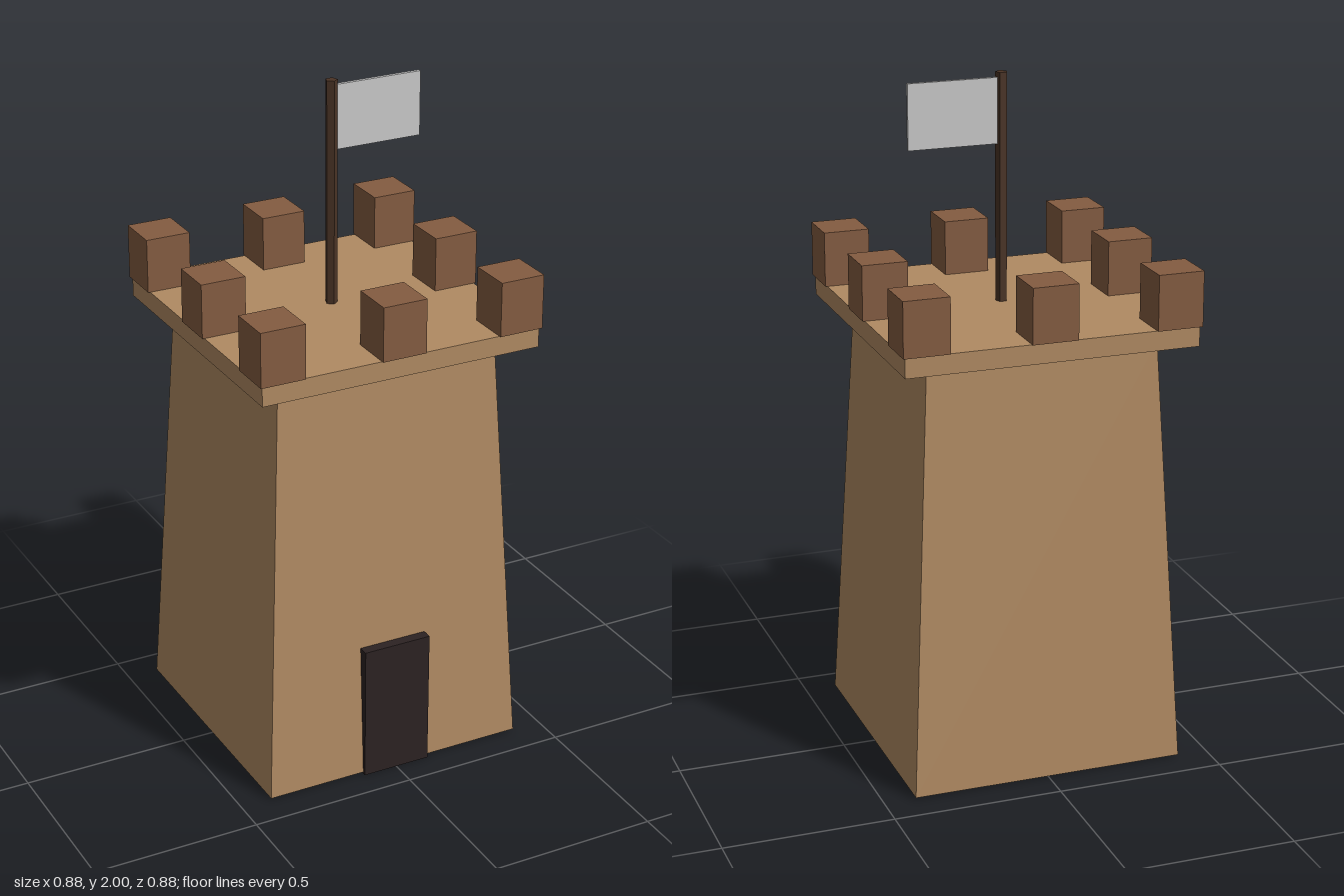
import * as THREE from 'three';

const paint = (name, color) => {
  const m = new THREE.MeshStandardMaterial({ color, flatShading: true });
  m.name = name;
  return m;
};

export function createModel() {
  const tower = new THREE.Group();
  tower.name = 'watchtower';

  const stone = paint('sandstone', 0xb08a62);
  const brick = paint('brown brick', 0x845c41);
  const doorWood = paint('dark door wood', 0x2c2222);
  const poleWood = paint('pole wood', 0x4a3325);
  const cloth = paint('pale cloth', 0xc9c9c9);

  const add = (name, geometry, material, x, y, z) => {
    const mesh = new THREE.Mesh(geometry, material);
    mesh.name = name;
    mesh.position.set(x, y, z);
    tower.add(mesh);
    return mesh;
  };
  const box = (name, material, w, h, d, x, y, z) =>
    add(name, new THREE.BoxGeometry(w, h, d), material, x, y, z);

  // Tapered square shaft
  const shaft = new THREE.CylinderGeometry(0.342 * Math.SQRT2, 0.407 * Math.SQRT2, 1.27, 4);
  shaft.rotateY(Math.PI / 4);
  add('shaft', shaft, stone, 0, 0.64, 0);

  // Overhanging roof platform
  box('platform', stone, 0.864, 0.058, 0.864, 0, 1.304, 0);

  // Ring of battlement blocks: corners and side middles
  for (const i of [-1, 0, 1]) {
    for (const j of [-1, 0, 1]) {
      if (i === 0 && j === 0) continue;
      box('battlement', brick, 0.135, 0.162, 0.135, i * 0.371, 1.414, j * 0.371);
    }
  }

  // Door in the front wall
  box('door', doorWood, 0.21, 0.415, 0.035, 0, 0.2075, 0.4);

  // Flagpole and flag
  add('flagpole', new THREE.CylinderGeometry(0.018, 0.018, 0.68, 5), poleWood, 0, 1.66, 0);
  box('flag', cloth, 0.266, 0.19, 0.011, 0.146, 1.89, 0);

  return tower;
}
